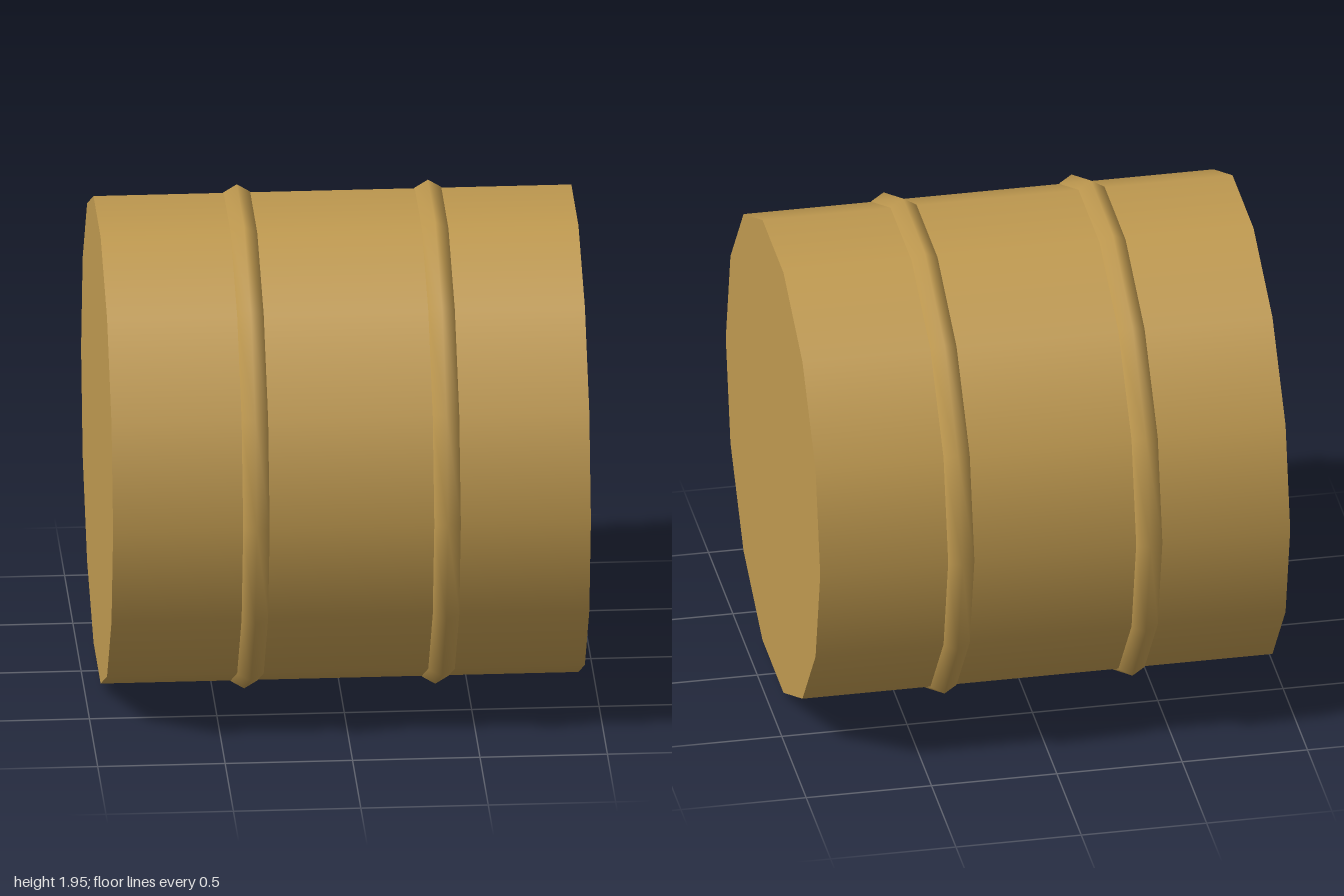
import * as THREE from 'three';

const SIDES = 14;
const OUTER = 1; // radius at the hoop crest
const TUBE = 0.06; // hoop thickness
const BODY = 0.967; // radius of the barrel wall
const LENGTH = 1.875;
const AXIS_Y = OUTER * Math.cos(Math.PI / SIDES); // rests on a flat facet

export function createModel() {
  const group = new THREE.Group();
  group.name = 'barrel';
  const material = new THREE.MeshStandardMaterial({ color: 0xc09a50 });

  const add = (name, geometry, x) => {
    const mesh = new THREE.Mesh(geometry, material);
    mesh.name = name;
    mesh.position.set(x, AXIS_Y, 0);
    group.add(mesh);
  };

  // Barrel body lying along x, smooth wall with flat ends
  add('body', new THREE.CylinderGeometry(BODY, BODY, LENGTH, SIDES).rotateZ(Math.PI / 2), 0);

  // Two raised hoops with a six-sided section
  for (const [name, x] of [['leftHoop', 0.375], ['rightHoop', -0.375]]) {
    add(name, new THREE.TorusGeometry(OUTER - TUBE, TUBE, 6, SIDES).rotateY(Math.PI / 2), x);
  }

  return group;
}
